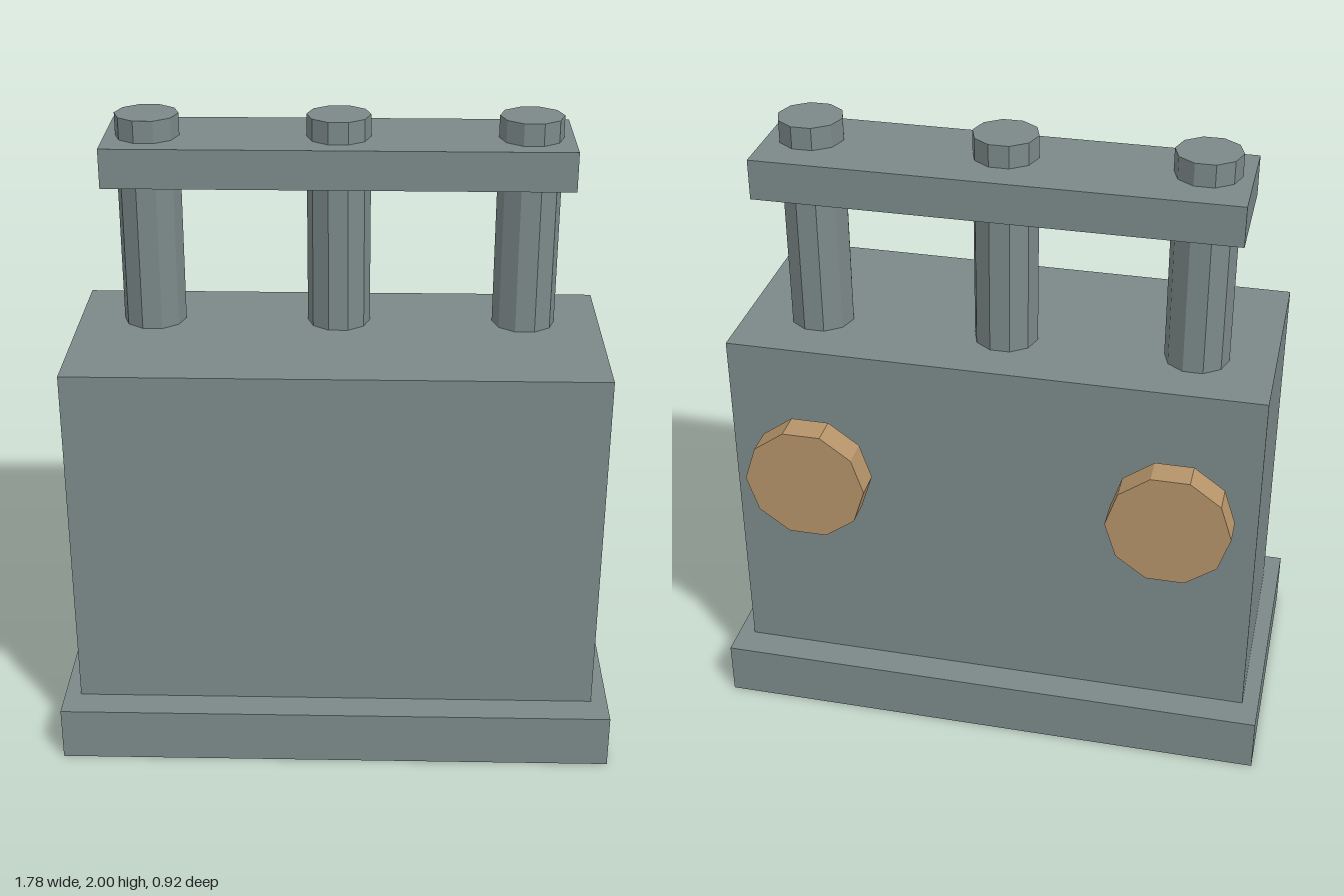
import * as THREE from 'three';

export function createModel() {
  const group = new THREE.Group();
  const grey = new THREE.MeshStandardMaterial({ color: 0x7c8989 });
  grey.name = 'slate grey';
  const tan = new THREE.MeshStandardMaterial({ color: 0xb6946a });
  tan.name = 'tan';
  grey.flatShading = tan.flatShading = true;

  function add(name, geometry, material, x, y, z) {
    const mesh = new THREE.Mesh(geometry, material);
    mesh.name = name;
    mesh.position.set(x, y, z);
    group.add(mesh);
  }

  // Box given by its bottom and top heights
  function block(name, width, depth, bottom, top, z) {
    add(name, new THREE.BoxGeometry(width, top - bottom, depth), grey, 0, (bottom + top) / 2, z);
  }

  // Ten-sided prism with corners on the x axis
  const prism = (radius, height) =>
    new THREE.CylinderGeometry(radius, radius, height, 10).rotateY(Math.PI / 2);

  block('base', 1.776, 0.907, 0, 0.175, 0.006);
  block('body', 1.672, 0.708, 0.175, 1.32, 0.005);
  block('crossbar', 1.454, 0.355, 1.805, 1.93, -0.14);

  // Row of posts running up through the crossbar
  for (const x of [-0.594, 0, 0.594]) {
    add('post', prism(0.1, 0.68), grey, x, 1.66, -0.118);
  }

  // Pair of discs just behind the back wall
  for (const side of [-1, 1]) {
    add('backDisc', prism(0.193, 0.091).rotateX(Math.PI / 2), tan, side * 0.573, 0.901, -0.415);
  }

  return group;
}
